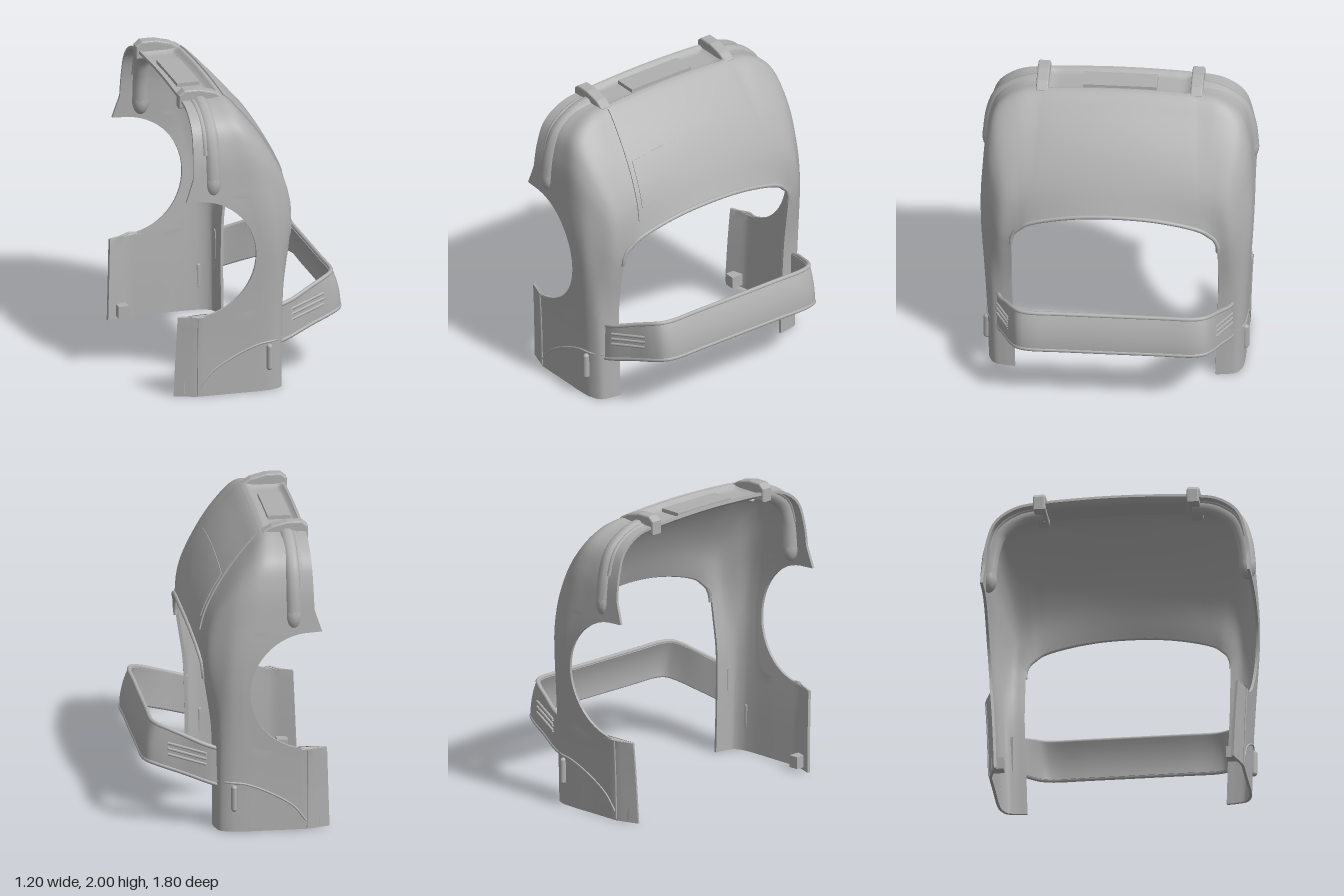
import * as THREE from 'three';
import { toCreasedNormals } from 'three/addons/utils/BufferGeometryUtils.js';

const V = (x, y, z) => new THREE.Vector3(x, y, z);
const { lerp, clamp, smoothstep } = THREE.MathUtils;

// stations over the arch: outer z, outer y, roof blend, inner z, inner y, inner x
const half = [
  [0.83, 0, 0, 0.65, 0, 0.15], [0.84, 0.35, 0, 0.66, 0.35, 0.15],
  [0.86, 0.7, 0, 0.67, 0.68, 0.16], [0.88, 1.0, 0, 0.67, 0.9, 0.19],
  [0.885, 1.2, 0.1, 0.67, 1.0, 0.205], [0.875, 1.4, 0.25, 0.67, 1.04, 0.21],
  [0.85, 1.65, 0.5, 0.66, 1.075, 0.213], [0.785, 1.82, 0.75, 0.645, 1.105, 0.216],
  [0.65, 1.91, 0.92, 0.62, 1.13, 0.222], [0.5, 1.935, 1, 0.56, 1.18, 0.235],
  [0.25, 1.95, 1, 0.3, 1.255, 0.258], [0, 1.955, 1, 0, 1.28, 0.268],
];
const MID = half.length - 1, END = MID * 2;
const stations = [...half, ...half.slice(0, -1).reverse().map(([a, b, k, c, d, e]) => [-a, b, k, -c, d, e])];
const outerCurve = new THREE.CatmullRomCurve3(stations.map(p => V(p[2], p[1], p[0])));
const innerCurve = new THREE.CatmullRomCurve3(stations.map(p => V(p[5], p[4], p[3])));

// station number on the +z side for a given outer height
function stationAt(y) {
  let a = 0, b = MID;
  for (let i = 0; i < 40; i++) {
    const m = (a + b) / 2;
    if (outerCurve.getPoint(m / END).y < y) a = m; else b = m;
  }
  return a;
}

// front edge with the round side cutout
function frontEdge(y) {
  if (y < 0.547) return -0.6 + 0.02 * y / 0.547;
  if (y < 1.352) return -0.47 + Math.sqrt(Math.max(0, 0.16 - (y - 0.95) ** 2));
  return y < 1.5 ? lerp(-0.54, -0.49, (y - 1.352) / 0.148) : lerp(-0.49, -0.475, (y - 1.5) / 0.45);
}

const ROOF_X = [0, -0.38, -0.29, -0.2, -0.08, 0.07, 0.18, 0];
const ROOF_W = [0, 0, 0, 0, 0.155, 0.42, 0.7, 1];
const SIDE_W = [0, 0, 0, 0, 0.06, 0.25, 0.6, 1];

// cross-section at one station, from the front edge round to the arch opening
function section(s) {
  const o = outerCurve.getPoint(s / END), n = innerCurve.getPoint(s / END);
  const x0 = frontEdge(o.y), k = clamp(o.x, 0, 1);
  const sideX = [x0, lerp(x0, -0.02, 0.33), lerp(x0, -0.02, 0.66), -0.02, 0.06, 0.12, n.x - 0.01, n.x];
  const curve = new THREE.CatmullRomCurve3(sideX.map((sx, i) => {
    const x = i === 0 || i === 7 ? sx : lerp(sx, ROOF_X[i], k);
    const w = lerp(SIDE_W[i], ROOF_W[i], k);
    return V(x, lerp(o.y, n.y, w), lerp(o.z, n.z, w));
  }));
  return t => {
    const p = curve.getPoint(clamp(t / 7, 0, 1));
    // lower front panels bend inward
    if (p.y < 0.56 && p.x < -0.45) p.z -= Math.sign(p.z) * 0.05 * (-0.45 - p.x) / 0.15;
    // shallow tray in the roof
    if (k > 0.9) p.y -= 0.03 * smoothstep(p.x, -0.465, -0.43) * (1 - smoothstep(p.x, -0.25, -0.215))
      * (1 - smoothstep(Math.abs(p.z), 0.43, 0.47));
    return p;
  };
}

const range = (a, b, n) => Array.from({ length: n + 1 }, (_, i) => lerp(a, b, i / n));
const grid = (ss, ts) => ss.map(s => ts.map(section(s)));

// closed sheet from a grid of points, lying between two offsets along its normals
function slab(g, top, bottom) {
  const R = g.length, C = g[0].length;
  const normals = g.map((row, i) => row.map((p, j) => {
    const di = g[Math.min(i + 1, R - 1)][j].clone().sub(g[Math.max(i - 1, 0)][j]);
    const dj = row[Math.min(j + 1, C - 1)].clone().sub(row[Math.max(j - 1, 0)]);
    return dj.cross(di).normalize();
  }));
  const pos = [], idx = [];
  for (const off of [top, bottom])
    g.forEach((row, i) => row.forEach((p, j) => pos.push(...p.clone().addScaledVector(normals[i][j], off).toArray())));
  const at = (i, j, layer) => layer * R * C + i * C + j;
  const quad = (a, b, c, d) => idx.push(a, b, c, b, d, c);
  for (let i = 0; i < R - 1; i++) for (let j = 0; j < C - 1; j++) {
    quad(at(i, j, 0), at(i, j + 1, 0), at(i + 1, j, 0), at(i + 1, j + 1, 0));
    quad(at(i, j, 1), at(i + 1, j, 1), at(i, j + 1, 1), at(i + 1, j + 1, 1));
  }
  for (let i = 0; i < R - 1; i++) {
    quad(at(i, 0, 0), at(i + 1, 0, 0), at(i, 0, 1), at(i + 1, 0, 1));
    quad(at(i, C - 1, 0), at(i, C - 1, 1), at(i + 1, C - 1, 0), at(i + 1, C - 1, 1));
  }
  for (let j = 0; j < C - 1; j++) {
    quad(at(0, j, 0), at(0, j, 1), at(0, j + 1, 0), at(0, j + 1, 1));
    quad(at(R - 1, j, 0), at(R - 1, j + 1, 0), at(R - 1, j, 1), at(R - 1, j + 1, 1));
  }
  const geo = new THREE.BufferGeometry();
  geo.setAttribute('position', new THREE.Float32BufferAttribute(pos, 3));
  geo.setIndex(idx);
  return toCreasedNormals(geo, 0.7);
}

// point on the side wall at a given x and height
function onSide(x, y, sign) {
  const sec = section(stationAt(y));
  let a = 0, b = 7;
  for (let i = 0; i < 30; i++) {
    const m = (a + b) / 2;
    if (sec(m).x < x) a = m; else b = m;
  }
  const p = sec(a);
  return V(p.x, p.y, p.z * sign);
}

export function createModel() {
  const model = new THREE.Group();
  const grey = new THREE.MeshStandardMaterial({ color: 0xb0b0b0, side: THREE.DoubleSide });
  grey.name = 'plain grey';
  const add = (name, geo, x = 0, y = 0, z = 0) => {
    const m = new THREE.Mesh(geo, grey);
    m.name = name;
    m.position.set(x, y, z);
    model.add(m);
    return m;
  };
  const tube = (name, pts, r, n = 40) =>
    add(name, new THREE.TubeGeometry(new THREE.CatmullRomCurve3(pts), n, r, 10));

  // main shell, with rows packed round the side cutouts
  const heights = [...range(0, 0.545, 9), ...range(0, Math.PI, 30).map(a => 0.95 - 0.4 * Math.cos(a))];
  const rows = [...heights.map(stationAt), ...range(stationAt(1.354), MID, 50)];
  rows.push(...rows.slice(0, -1).reverse().map(s => END - s));
  add('shell', slab(grid(rows, [...range(0, 3, 18), ...range(3.2, 7, 19)]), 0, -0.018));

  // rear panel, its inset plate and the rim of the opening
  add('rearPanel', slab(grid(range(9, END - 9, 30), range(3.1, 6.5, 24)), 0.009, -0.005));
  add('rearInset', slab(grid(range(9.15, END - 9.15, 30), range(4.9, 6.2, 10)), 0.014, 0));
  tube('archRim', range(4, END - 4, 40).map(s => section(s)(7)), 0.014, 100);

  // roof plate
  add('roofPlate', new THREE.BoxGeometry(0.15, 0.03, 0.48), -0.345, 1.93, 0);

  // clamp outline
  const clampShape = new THREE.Shape([[-0.48, 1.89], [-0.48, 1.96], [-0.45, 1.985], [-0.36, 1.985],
    [-0.26, 1.96], [-0.21, 1.93], [-0.21, 1.89]].map(p => new THREE.Vector2(...p)));
  const clampGeo = new THREE.ExtrudeGeometry(clampShape,
    { depth: 0.06, bevelEnabled: true, bevelSize: 0.012, bevelThickness: 0.01, bevelSegments: 3 });

  for (const side of [1, -1]) {
    add('clamp', clampGeo, 0, 0, side * 0.5 - 0.03);

    // shoulder tube with rounded lower end, and a slim rod beside it
    const over = (x, sink) => s => {
      const p = outerCurve.getPoint(s / END);
      return V(x, p.y - sink * smoothstep(p.y, 1.6, 1.9), (p.z - sink) * side);
    };
    const path = range(stationAt(1.46), 8.9, 16).map(over(-0.355, 0.028));
    tube('shoulderTube', path, 0.055);
    const tip = add('tubeTip', new THREE.SphereGeometry(0.055, 16, 12), ...path[0].toArray());
    tip.scale.y = 1.7;
    tube('shoulderRod', range(stationAt(1.65), 8.7, 12).map(over(-0.4, 0.01)), 0.02);

    // seams and bump on the lower side
    tube('frontSeam', range(0.01, 0.54, 8).map(y => onSide(-0.45, y, side)), 0.006);
    tube('lowerSeam', [[-0.44, 0.06], [-0.36, 0.16], [-0.2, 0.26], [-0.04, 0.325], [0.06, 0.335], [0.13, 0.335]]
      .map(([x, y]) => onSide(x, y, side)), 0.007);
    const bump = add('sideBump', new THREE.CapsuleGeometry(0.02, 0.14, 6, 12), 0.03, 0.23, side * 0.835);
    bump.scale.z = 1.3;

    // inner block at the foot
    add('footBlock', new THREE.BoxGeometry(0.07, 0.08, 0.08), -0.5, 0.06, side * 0.765);

    // three raised ribs on each bumper arm
    for (let i = 0; i < 3; i++)
      tube('bumperRib', [0.2, 0.44].map(x => V(x, 0.445 + i * 0.037 + (x - 0.2) * 0.22,
        side * (0.762 - (x - 0.2) * 0.375))), 0.009, 8);
  }

  // bumper band: bent path swept with a leaning, slightly bowed section
  const arm = [[0.12, 0.425, 0.76], [0.2, 0.45, 0.745], [0.34, 0.5, 0.693], [0.47, 0.543, 0.645],
    [0.53, 0.56, 0.605], [0.555, 0.563, 0.54], [0.557, 0.563, 0.3]];
  const bumperPath = new THREE.CatmullRomCurve3([...arm, ...arm.slice().reverse().map(([x, y, z]) => [x, y, -z])]
    .map(p => V(...p)));
  const band = range(0, 1, 90).map(u => {
    const p = bumperPath.getPoint(u), lean = smoothstep(p.x, 0.2, 0.54);
    return range(1, -1, 8).map(h => V(
      p.x + lean * (-0.028 * h + 0.015 * (1 - h * h)), p.y + 0.122 * h, p.z));
  });
  add('bumper', slab(band, 0.008, -0.018));
  for (const j of [0, 8]) tube('bumperEdge', band.map(r => r[j]), 0.014, 120);

  return model;
}
